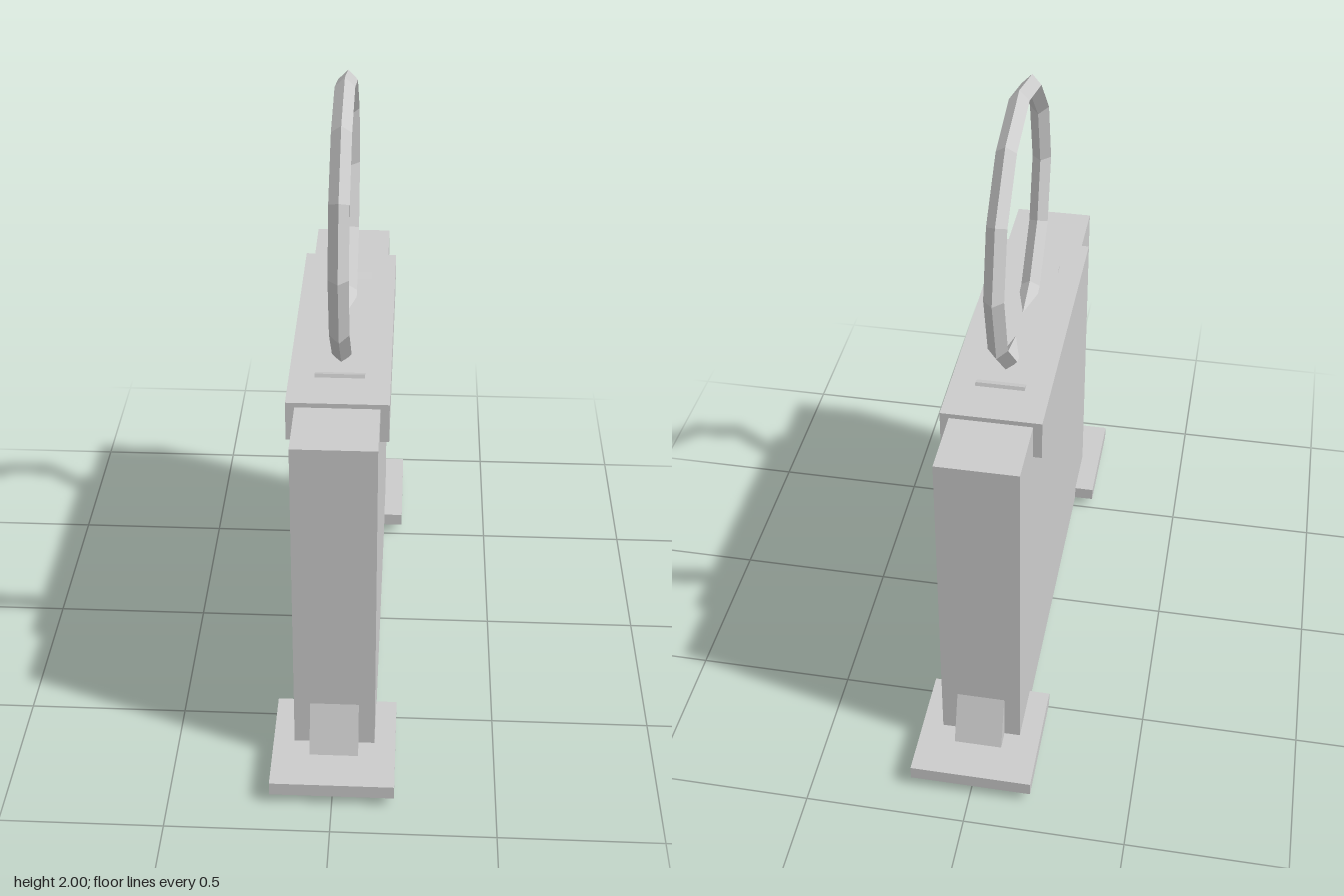
import * as THREE from 'three';

export function createModel() {
  const model = new THREE.Group();
  const grey = new THREE.MeshStandardMaterial({ color: 0xcccccc, flatShading: true });
  grey.name = 'plain grey';

  const add = (name, geometry, x, y, z) => {
    const mesh = new THREE.Mesh(geometry, grey);
    mesh.name = name;
    mesh.position.set(x, y, z);
    model.add(mesh);
    return mesh;
  };
  // Box given by its full width and depth and its bottom and top heights
  const block = (name, w, d, y0, y1, z = 0) =>
    add(name, new THREE.BoxGeometry(w, y1 - y0, d), 0, (y0 + y1) / 2, z);

  block('body', 0.25, 1.4, 0.035, 1.172);
  block('topCap', 0.304, 0.96, 1.06, 1.187);

  // Feet, and slanted braces that run through the body from foot to cap
  for (const s of [1, -1]) {
    const end = s > 0 ? 'front' : 'back';
    block(end + 'Foot', 0.38, 0.377, 0.035, 0.08, s * 0.7);
    const brace = add(end + 'Brace', new THREE.BoxGeometry(0.15, 1.222, 0.153), 0, 0.6, s * 0.478);
    brace.rotation.x = -s * 0.367;
  }

  // Twelve-sided ring handle with a diamond section, sunk into the cap
  const ring = add('ringHandle', new THREE.TorusGeometry(0.415, 0.03, 4, 12), 0, 1.555, 0);
  ring.rotation.y = Math.PI / 2;

  return model;
}
